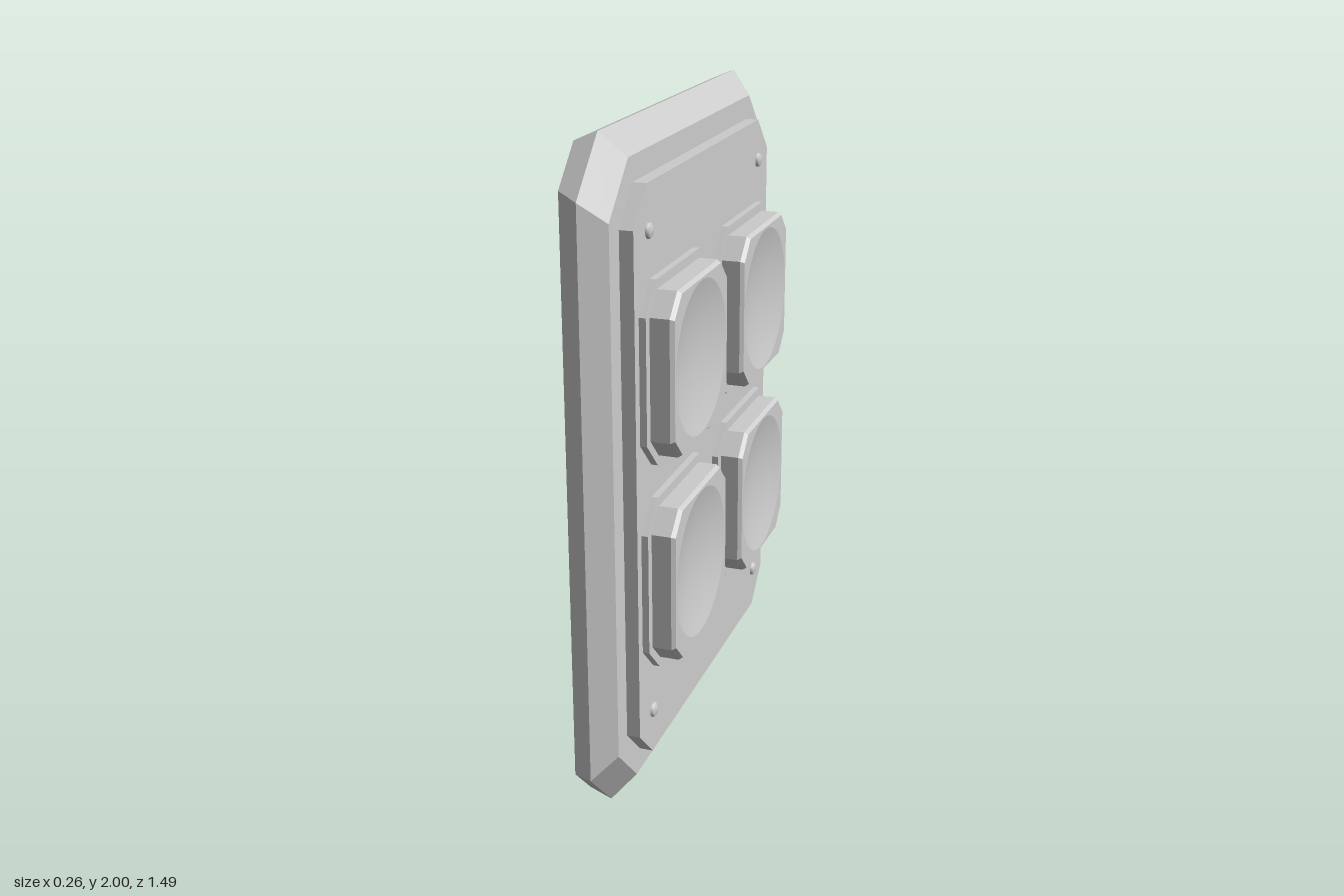
import * as THREE from 'three';

const material = new THREE.MeshStandardMaterial({ color: 0xcccccc });

// Corners of a chamfered rectangle (half width, half height, chamfer), counter-clockwise
function octagon(w, h, c) {
  return [[w, c - h], [w, h - c], [w - c, h], [c - w, h],
    [-w, h - c], [-w, c - h], [c - w, -h], [w - c, -h]];
}

// Flat-faced solid through rings of [half width, half height, chamfer, depth]
function loft(rings, capFront = true) {
  const pos = [];
  const loops = rings.map(([w, h, c, z]) => octagon(w, h, c).map(([x, y]) => [x, y, z]));
  for (let r = 0; r < loops.length - 1; r++) {
    for (let i = 0; i < 8; i++) {
      const j = (i + 1) % 8;
      const a = loops[r][i], b = loops[r][j], c = loops[r + 1][j], d = loops[r + 1][i];
      pos.push(...a, ...b, ...c, ...a, ...c, ...d);
    }
  }
  const back = loops[0], front = loops[loops.length - 1];
  for (let i = 1; i < 7; i++) {
    pos.push(...back[0], ...back[i + 1], ...back[i]);
    if (capFront) pos.push(...front[0], ...front[i], ...front[i + 1]);
  }
  const geometry = new THREE.BufferGeometry();
  geometry.setAttribute('position', new THREE.Float32BufferAttribute(pos, 3));
  geometry.computeVertexNormals();
  return geometry;
}

function add(parent, name, geometry, x = 0, y = 0, z = 0) {
  const mesh = new THREE.Mesh(geometry, material);
  mesh.name = name;
  mesh.position.set(x, y, z);
  parent.add(mesh);
  return mesh;
}

// Key cap: bevelled block, flat rim with a round opening, smooth concave dish
const DISH_R = 0.226, DISH_DEPTH = 0.03, KEY_TOP = 0.129;
const keyBody = loft([[0.24, 0.24, 0.063, 0.058], [0.24, 0.24, 0.063, 0.117],
  [0.232, 0.232, 0.06, KEY_TOP]], false);
const rimShape = new THREE.Shape(octagon(0.232, 0.232, 0.06).map(p => new THREE.Vector2(...p)));
rimShape.holes.push(new THREE.Path().absarc(0, 0, DISH_R, 0, Math.PI * 2, true));
const keyRim = new THREE.ShapeGeometry(rimShape, 20);
const dishProfile = [];
for (let i = 0; i <= 10; i++) {
  const t = i / 10;
  dishProfile.push(new THREE.Vector2(DISH_R * t, -DISH_DEPTH * (1 - t * t)));
}
const keyDish = new THREE.LatheGeometry(dishProfile, 40).rotateX(Math.PI / 2);
keyDish.computeVertexNormals();
const collar = loft([[0.268, 0.268, 0.085, 0.038], [0.268, 0.268, 0.085, 0.06]]);

function makeKey(x, y) {
  const key = new THREE.Group();
  key.name = 'key';
  key.position.set(x, y, 0);
  add(key, 'keyCollar', collar);
  add(key, 'keyBody', keyBody);
  add(key, 'keyRim', keyRim, 0, 0, KEY_TOP);
  const dish = add(key, 'keyDish', keyDish, 0, 0, KEY_TOP);
  dish.material = material.clone();
  dish.material.side = THREE.DoubleSide;
  return key;
}

// Small domed stud
function stud(r, height) {
  const profile = [[r, 0], [r, height * 0.5], [r * 0.75, height * 0.85], [0, height]]
    .map(p => new THREE.Vector2(...p));
  return new THREE.LatheGeometry(profile, 16).rotateX(Math.PI / 2);
}

export function createModel() {
  const model = new THREE.Group();
  model.name = 'keypadPanel';

  // The panel is laid out facing +z, then turned to face +x
  const panel = new THREE.Group();
  panel.name = 'panel';
  panel.position.y = 1;
  panel.rotation.y = Math.PI / 2;
  model.add(panel);

  add(panel, 'backPlate', loft([[0.7, 0.972, 0.11, -0.133],
    [0.745, 1, 0.155, -0.066], [0.69, 0.928, 0.145, 0]]));
  add(panel, 'facePlate', loft([[0.62, 0.857, 0.105, -0.002], [0.62, 0.857, 0.105, 0.04]]));

  // Four keys and four corner screws
  const screw = stud(0.022, 0.014);
  for (const sx of [-1, 1]) {
    for (const sy of [-1, 1]) {
      panel.add(makeKey(sx * 0.32, 0.01 + sy * 0.317));
      add(panel, 'cornerScrew', screw, sx * 0.51, 0.005 + sy * 0.724, 0.039);
    }
  }
  add(panel, 'centreStud', stud(0.016, 0.01), 0, 0.005, 0.039);
  return model;
}
